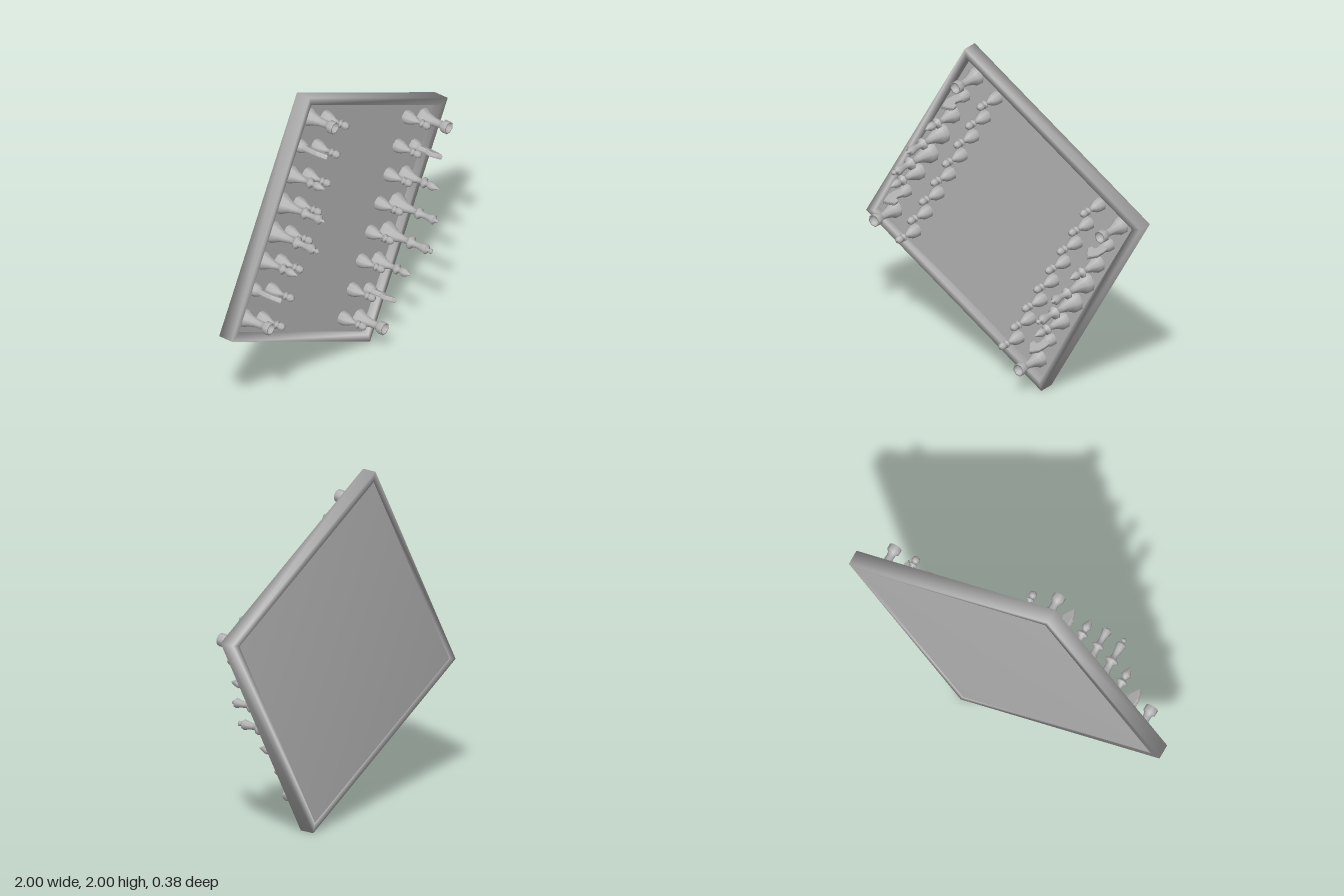
import * as THREE from 'three';
import { mergeVertices } from 'three/addons/utils/BufferGeometryUtils.js';

const CELL = 0.173;      // one square
const INNER = 4 * CELL;  // half width of the playing field
const OUTER = 0.734;     // half width of the frame
const FLOOR = -0.148;    // z of the playing field
const BACK = -0.19, RIM = -0.1;

// Closed square ring from a cross-section of [half width, z], with smooth normals
function squareRing(profile) {
  const corners = [[1, 1], [-1, 1], [-1, -1], [1, -1]];
  const n = profile.length, pos = [], index = [];
  for (const [h, z] of profile) for (const [cx, cy] of corners) pos.push(cx * h, cy * h, z);
  for (let i = 0; i < n; i++) {
    for (let k = 0; k < 4; k++) {
      const j = (i + 1) % n, m = (k + 1) % 4;
      const a = i * 4 + k, b = i * 4 + m, c = j * 4 + m, d = j * 4 + k;
      index.push(a, b, c, a, c, d);
    }
  }
  const g = new THREE.BufferGeometry();
  g.setAttribute('position', new THREE.Float32BufferAttribute(pos, 3));
  g.setIndex(index);
  g.computeVertexNormals();
  return g;
}

// Box whose corners share one soft normal
function softBox(w, h, d) {
  let g = new THREE.BoxGeometry(w, h, d);
  g.deleteAttribute('normal');
  g.deleteAttribute('uv');
  g = mergeVertices(g);
  g.computeVertexNormals();
  return g;
}

// Eight-sided turned piece, its axis pointing along +z
function turned(points) {
  const g = new THREE.LatheGeometry(points.map(([r, h]) => new THREE.Vector2(r, h)), 8);
  return g.rotateX(Math.PI / 2);
}

// Horse head: side outline extruded across, muzzle towards +x
function horseHead() {
  const s = new THREE.Shape();
  [[-0.022, 0.05], [0.02, 0.05], [0.012, 0.1], [0.018, 0.125], [0.036, 0.125], [0.038, 0.15],
    [0.012, 0.182], [-0.006, 0.198], [-0.014, 0.178], [-0.026, 0.14], [-0.026, 0.09]]
    .forEach(([x, y], i) => (i ? s.lineTo(x, y) : s.moveTo(x, y)));
  const g = new THREE.ExtrudeGeometry(s, {
    depth: 0.016, bevelEnabled: true, bevelSize: 0.004, bevelThickness: 0.006, bevelSegments: 1,
  });
  return g.translate(0, 0, -0.008).rotateX(Math.PI / 2);
}

export function createModel() {
  const grey = new THREE.MeshStandardMaterial({ color: 0xb3b3b3 });
  grey.name = 'plain grey';

  const model = new THREE.Group();
  model.name = 'chessSet';
  const board = new THREE.Group();
  board.name = 'board';
  board.position.y = 1;
  board.rotation.z = -0.5124;
  model.add(board);

  const add = (parent, name, geometry, x = 0, y = 0, z = 0) => {
    const mesh = new THREE.Mesh(geometry, grey);
    mesh.name = name;
    mesh.position.set(x, y, z);
    parent.add(mesh);
    return mesh;
  };

  // Board: raised frame, slab and playing field
  add(board, 'frame', squareRing([[INNER, BACK], [OUTER, BACK], [OUTER, RIM], [INNER, RIM]]));
  const slabTop = FLOOR - 0.002;
  add(board, 'slab', softBox(2 * INNER, 2 * INNER, slabTop - BACK), 0, 0, (slabTop + BACK) / 2);
  add(board, 'playingField', new THREE.PlaneGeometry(2 * INNER, 2 * INNER), 0, 0, FLOOR);

  // Piece profiles as [radius, height]
  const shapes = {
    pawn: turned([[0.041, 0], [0.041, 0.015], [0.036, 0.04], [0.024, 0.065], [0.013, 0.085], [0.012, 0.105],
      [0.025, 0.112], [0.025, 0.118], [0.012, 0.124], [0.021, 0.135], [0.024, 0.148], [0.018, 0.165], [0, 0.173]]),
    rook: turned([[0.053, 0], [0.053, 0.016], [0.042, 0.035], [0.034, 0.055], [0.025, 0.09], [0.022, 0.125],
      [0.026, 0.145], [0.038, 0.155], [0.038, 0.19], [0.03, 0.19], [0.026, 0.165], [0, 0.163]]),
    knight: turned([[0.04, 0], [0.04, 0.015], [0.034, 0.035], [0.024, 0.055], [0, 0.06]]),
    bishop: turned([[0.053, 0], [0.053, 0.016], [0.043, 0.035], [0.032, 0.06], [0.018, 0.1], [0.016, 0.125],
      [0.033, 0.142], [0.033, 0.15], [0.015, 0.16], [0.016, 0.172], [0.027, 0.19], [0.022, 0.21],
      [0.008, 0.238], [0, 0.25]]),
    queen: turned([[0.064, 0], [0.064, 0.018], [0.052, 0.04], [0.036, 0.07], [0.022, 0.12], [0.018, 0.155],
      [0.036, 0.168], [0.036, 0.178], [0.02, 0.19], [0.017, 0.215], [0.021, 0.245], [0.03, 0.278],
      [0.02, 0.285], [0.007, 0.293], [0.011, 0.302], [0, 0.313]]),
    king: turned([[0.064, 0], [0.064, 0.018], [0.053, 0.04], [0.037, 0.07], [0.023, 0.12], [0.019, 0.16],
      [0.04, 0.175], [0.04, 0.186], [0.021, 0.2], [0.018, 0.225], [0.023, 0.255], [0.031, 0.288],
      [0.024, 0.298], [0.008, 0.306], [0.015, 0.318], [0.015, 0.327], [0, 0.338]]),
  };
  const head = horseHead();
  const order = ['rook', 'knight', 'bishop', 'queen', 'king', 'bishop', 'knight', 'rook'];

  // Two facing armies, back rank and pawns
  for (const side of [-1, 1]) {
    const army = new THREE.Group();
    army.name = side < 0 ? 'rightArmy' : 'leftArmy';
    board.add(army);
    order.forEach((name, i) => {
      const y = (3.5 - i) * CELL;
      add(army, name, shapes[name], side * 3.5 * CELL, y, FLOOR);
      add(army, 'pawn', shapes.pawn, side * 2.5 * CELL, y, FLOOR);
      if (name === 'knight') {
        add(army, 'knightHead', head, side * 3.5 * CELL, y, FLOOR).rotation.z = side < 0 ? 0 : Math.PI;
      }
    });
  }
  return model;
}
